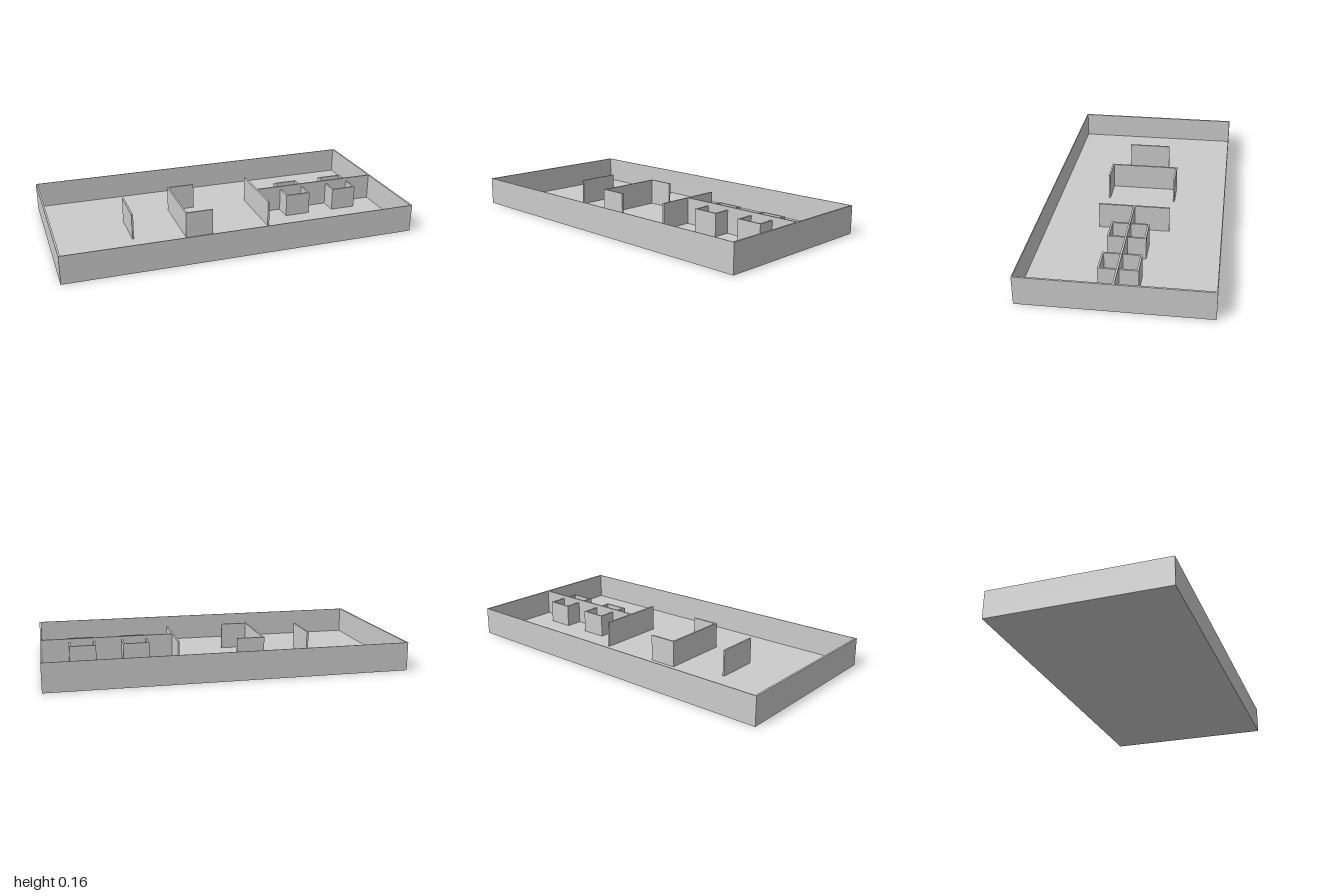
import * as THREE from 'three';

const material = new THREE.MeshStandardMaterial({ color: 0xcccccc, flatShading: true });
const FLOOR = 0.01, TOP = 0.16, T = 0.01;

// Box given by its extents along each axis
function block(name, x0, x1, z0, z1, y0 = FLOOR, y1 = TOP) {
  const mesh = new THREE.Mesh(new THREE.BoxGeometry(x1 - x0, y1 - y0, z1 - z0), material);
  mesh.position.set((x0 + x1) / 2, (y0 + y1) / 2, (z0 + z1) / 2);
  mesh.name = name;
  return mesh;
}

// Rectangular ring of four walls, open at the top
function ring(name, x0, x1, z0, z1, y0, y1, tx, tz) {
  const group = new THREE.Group();
  group.name = name;
  group.add(
    block('leftSide', x1 - tx, x1, z0, z1, y0, y1),
    block('rightSide', x0, x0 + tx, z0, z1, y0, y1),
    block('frontSide', x0 + tx, x1 - tx, z1 - tz, z1, y0, y1),
    block('backSide', x0 + tx, x1 - tx, z0, z0 + tz, y0, y1)
  );
  return group;
}

export function createModel() {
  const model = new THREE.Group();
  model.name = 'walledFloorPlan';

  // Floor slab and perimeter walls
  model.add(block('floor', -1, 1, -0.5, 0.5, 0, FLOOR));
  model.add(ring('outerWalls', -1, 1, -0.5, 0.5, FLOOR, TOP, T, 0.005));

  // Free-standing screen
  model.add(block('screenWall', -0.548, -0.538, -0.125, 0.125));

  // Three-sided alcove, open toward +x
  const alcove = new THREE.Group();
  alcove.name = 'alcove';
  alcove.add(block('alcoveBack', -0.255, -0.245, -0.2, 0.2));
  for (const s of [-1, 1]) {
    const z = s * 0.195;
    alcove.add(block('alcoveSide', -0.245, -0.095, z - T / 2, z + T / 2));
  }
  model.add(alcove);

  // T-shaped partition reaching the end wall
  model.add(block('crossWall', 0.238, 0.248, -0.2, 0.2));
  model.add(block('spineWall', 0.248, 0.99, -T / 2, T / 2));

  // Lower open-topped stalls straddling the spine
  for (const x of [0.395, 0.695]) {
    model.add(ring('stall', x, x + 0.148, -0.105, 0.105, FLOOR, 0.14, T, T));
  }
  return model;
}
